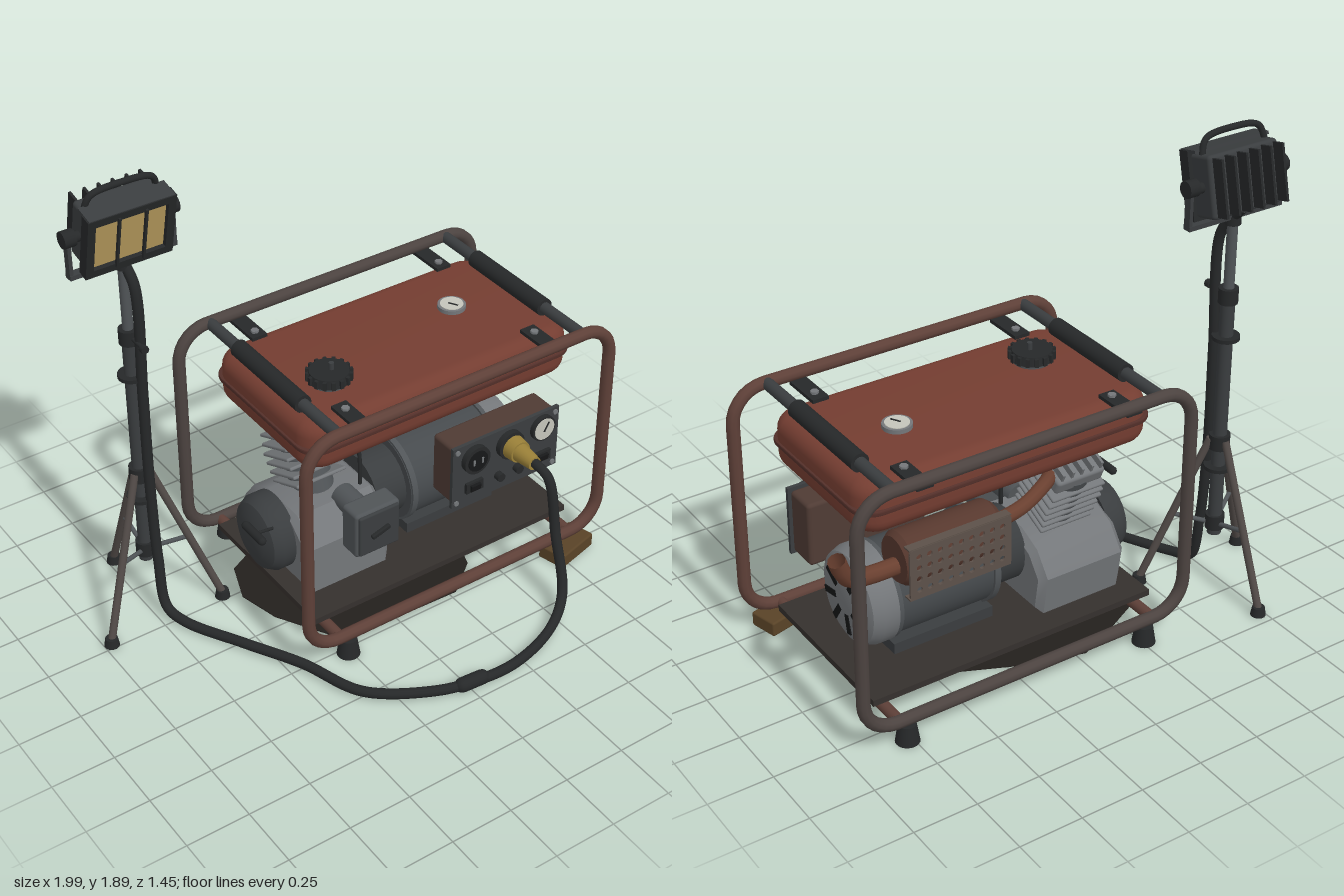
import * as THREE from 'three';
import { toCreasedNormals } from 'three/addons/utils/BufferGeometryUtils.js';
import { RoundedBoxGeometry } from 'three/addons/geometries/RoundedBoxGeometry.js';

const C = { rust: 0x743d31, frame: 0x5e4038, dark: 0x3a3d3f, black: 0x262829, metal: 0x74777a,
  iron: 0x505457, plate: 0x35302d, brass: 0x9a8038, glass: 0xb89d5e, dial: 0xc4c4ba, wood: 0x594327, pipe: 0x6a4030 };
const V = (p) => new THREE.Vector3(...p);

function add(parent, name, geo, color, pos = [0, 0, 0], rot = [0, 0, 0]) {
  const m = new THREE.Mesh(geo, new THREE.MeshStandardMaterial({ color }));
  m.name = name;
  m.position.set(...pos);
  m.rotation.set(...rot);
  parent.add(m);
  return m;
}
function group(parent, name, pos = [0, 0, 0], rot = [0, 0, 0]) {
  const g = new THREE.Group();
  g.name = name;
  g.position.set(...pos);
  g.rotation.set(...rot);
  parent.add(g);
  return g;
}
const box = (w, h, d) => new THREE.BoxGeometry(w, h, d);
const rbox = (w, h, d, r = 0.015) => new RoundedBoxGeometry(w, h, d, 2, r);
// Cylinder along the chosen axis
function cyl(r, h, axis = 'y', r2 = r, seg = 24) {
  const g = new THREE.CylinderGeometry(r2, r, h, seg);
  if (axis === 'x') g.rotateZ(-Math.PI / 2);
  if (axis === 'z') g.rotateX(Math.PI / 2);
  return g;
}
// Lathe of [radius, distance] points, turned to run along x
const latheX = (pts) => toCreasedNormals(
  new THREE.LatheGeometry(pts.map((p) => new THREE.Vector2(...p)), 36).rotateZ(-Math.PI / 2), 0.6);
function rod(parent, name, a, b, r, color) {
  const d = V(b).sub(V(a));
  const m = add(parent, name, cyl(r, d.length(), 'y', r, 14), color);
  m.position.copy(V(a).addScaledVector(d, 0.5));
  m.quaternion.setFromUnitVectors(new THREE.Vector3(0, 1, 0), d.normalize());
  return m;
}
const tube = (pts, r, n = 60, closed = false) => new THREE.TubeGeometry(
  new THREE.CatmullRomCurve3(pts.map((p) => (p.isVector3 ? p : V(p))), closed), n, r, 10, closed);
function roundRect(w, h, r) {
  const s = new THREE.Shape(), x = w / 2, y = h / 2;
  s.absarc(x - r, y - r, r, 0, Math.PI / 2);
  s.absarc(r - x, y - r, r, Math.PI / 2, Math.PI);
  s.absarc(r - x, r - y, r, Math.PI, Math.PI * 1.5);
  s.absarc(x - r, r - y, r, Math.PI * 1.5, Math.PI * 2);
  s.closePath();
  return s;
}
const extrude = (shape, depth, bevel, seg = 4) => toCreasedNormals(new THREE.ExtrudeGeometry(shape, {
  depth, bevelEnabled: bevel > 0, bevelThickness: bevel, bevelSize: bevel, bevelSegments: seg, curveSegments: 8 }), 0.6);

function buildFrame(root) {
  const g = group(root, 'frame');
  const loop = roundRect(1.375, 0.94, 0.13).getSpacedPoints(110).slice(0, -1);
  for (const [z, c, n] of [[0.275, C.frame, 'frontLoop'], [-0.588, 0x4c4340, 'backLoop']])
    add(g, n, tube(loop.map((p) => new THREE.Vector3(p.x + 0.2525, p.y + 0.565, z)), 0.025, 150, true), c);
  for (const x of [-0.295, 0.8]) {
    rod(g, 'topCrossbar', [x, 1.035, 0.275], [x, 1.035, -0.588], 0.023, C.dark);
    add(g, 'grip', cyl(0.035, 0.43, 'z'), C.black, [x, 1.035, -0.165]);
    rod(g, 'bottomCrossbar', [x, 0.095, 0.275], [x, 0.095, -0.588], 0.022, C.frame);
  }
  // Rubber feet; a wooden block stands in for the missing one
  for (const [x, z] of [[-0.26, -0.588], [0.77, -0.588], [-0.26, 0.275]])
    add(g, 'foot', cyl(0.045, 0.075, 'y', 0.033), C.black, [x, 0.0375, z]);
  add(g, 'woodBlock', rbox(0.2, 0.06, 0.12, 0.008), C.wood, [0.79, 0.03, 0.28], [0, 0.25, 0]);
  add(g, 'basePlate', box(1.2, 0.025, 0.685), C.plate, [0.25, 0.133, -0.155]);
  // Oil stain on the ground
  const stain = new THREE.Shape([[-0.42, 0.22], [-0.36, 0.38], [-0.2, 0.46], [-0.04, 0.53], [0.18, 0.47], [0.42, 0.36],
    [0.51, 0.12], [0.42, -0.12], [0.28, -0.23], [0.0, -0.22], [-0.26, -0.16], [-0.38, 0.05]].map((p) => new THREE.Vector2(...p)));
  add(g, 'oilStain', extrude(stain, 0.004, 0).rotateX(-Math.PI / 2), 0x231f1c);
}

function buildTank(root) {
  const g = group(root, 'fuelTank', [0.255, 0, -0.16]);
  add(g, 'tankShell', extrude(roundRect(1.09, 0.54, 0.04), 0.09, 0.058, 6).rotateX(-Math.PI / 2), C.rust, [0, 0.85, 0]);
  add(g, 'tankSeam', extrude(roundRect(1.21, 0.66, 0.08), 0.008, 0.006, 2).rotateX(-Math.PI / 2), 0x54302a, [0, 0.888, 0]);
  for (const x of [-0.43, 0.425]) for (const s of [-1, 1]) {
    add(g, 'tankStrap', box(0.065, 0.014, 0.17), C.black, [x, 1.01, s * 0.35 - (s < 0 ? 0 : 0.01)]);
    add(g, 'strapBolt', cyl(0.016, 0.012, 'y', 0.016, 6), C.metal, [x, 1.02, s * 0.3]);
  }
  // Ribbed filler cap with a small vent stub
  const cap = group(g, 'fuelCap', [-0.365, 1.0, 0.1]);
  add(cap, 'capNeck', cyl(0.07, 0.02), C.iron, [0, 0.005, 0]);
  add(cap, 'capBody', cyl(0.082, 0.035, 'y', 0.075), C.black, [0, 0.03, 0]);
  for (let i = 0; i < 16; i++) {
    const a = (i / 16) * Math.PI * 2;
    add(cap, 'capRib', box(0.012, 0.032, 0.014), C.black, [Math.cos(a) * 0.082, 0.029, Math.sin(a) * 0.082], [0, -a, 0]);
  }
  add(cap, 'ventStub', cyl(0.01, 0.03), C.dark, [0.01, 0.06, 0]);
  add(g, 'fuelGaugeRim', cyl(0.055, 0.016), C.metal, [0.29, 1.008, -0.035]);
  add(g, 'fuelGaugeDial', cyl(0.045, 0.004), C.dial, [0.29, 1.017, -0.035]);
  add(g, 'fuelGaugeNeedle', box(0.006, 0.003, 0.04), C.black, [0.29, 1.02, -0.025], [0, 0.5, 0]);
}

function buildEngine(root) {
  const g = group(root, 'engine');
  // Crankcase: chamfered side profile swept along x
  const side = new THREE.Shape([[-0.03, 0.17], [0.38, 0.17], [0.4, 0.3], [0.34, 0.38], [0.25, 0.42], [0.06, 0.42],
    [-0.03, 0.34]].map((p) => new THREE.Vector2(...p)));
  add(g, 'crankcase', extrude(side, 0.33, 0.025, 1).rotateY(Math.PI / 2), C.metal, [-0.265, 0, 0]);
  add(g, 'recoilStarter', latheX([[0, 0], [0.09, 0.005], [0.135, 0.025], [0.155, 0.06], [0.155, 0.12], [0, 0.12]]
    .map(([r, y]) => [r, y])), C.dark, [-0.4, 0.315, -0.18]);
  rod(g, 'pullCord', [-0.37, 0.43, -0.06], [-0.45, 0.44, -0.06], 0.006, C.black);
  add(g, 'pullHandle', new THREE.CapsuleGeometry(0.017, 0.11, 4, 12), C.black, [-0.45, 0.44, -0.065], [Math.PI / 2, 0, 0]);
  // Leaning cylinder with cooling fins
  const c = group(g, 'cylinder', [-0.1, 0.4, -0.19], [-0.42, 0, 0]);
  add(c, 'barrel', cyl(0.085, 0.3), C.iron, [0, 0.15, 0]);
  for (let i = 0; i < 6; i++)
    add(c, 'coolingFin', rbox(0.25 - Math.abs(i - 3) * 0.008, 0.014, 0.19, 0.006), C.metal, [0, 0.07 + i * 0.038, 0]);
  add(c, 'cylinderHead', rbox(0.21, 0.065, 0.16), C.metal, [0, 0.31, 0]);
  for (let i = 0; i < 5; i++) add(c, 'headFin', box(0.01, 0.035, 0.14), C.metal, [-0.085 + i * 0.042, 0.355, 0]);
  add(c, 'sparkPlug', cyl(0.02, 0.06), C.black, [0.05, 0.365, 0.06]);
  add(g, 'sparkLead', tube([[-0.07, 0.73, -0.27], [-0.02, 0.78, -0.24], [0.03, 0.72, -0.16], [0.045, 0.6, -0.1], [0.04, 0.42, -0.08]], 0.008), C.black);
  // Air filter on the front
  add(g, 'carburettor', cyl(0.05, 0.14, 'z'), C.iron, [-0.05, 0.44, 0.0]);
  add(g, 'airFilter', rbox(0.2, 0.2, 0.1), C.iron, [-0.05, 0.43, 0.12]);
  add(g, 'filterCover', rbox(0.18, 0.18, 0.02, 0.008), C.dark, [-0.05, 0.43, 0.17]);
  add(g, 'filterLatch', rbox(0.085, 0.02, 0.018, 0.006), C.black, [-0.05, 0.43, 0.185], [0, 0, 0.3]);

  // Generator head
  const a = group(root, 'alternator', [0, 0.35, -0.17]);
  add(a, 'coupling', cyl(0.145, 0.15, 'x'), C.dark, [0.16, 0, 0]);
  add(a, 'stator', cyl(0.178, 0.44, 'x', 0.178, 40), 0x464a4d, [0.44, 0, 0]);
  for (const x of [0.235, 0.645]) add(a, 'statorRing', cyl(0.188, 0.025, 'x', 0.188, 40), C.iron, [x, 0, 0]);
  add(a, 'endBell', latheX([[0.19, 0], [0.19, 0.06], [0.175, 0.1], [0.145, 0.115], [0, 0.12]]), C.metal, [0.65, 0, 0]);
  for (let i = 0; i < 8; i++) {
    const t = (i / 8) * Math.PI * 2 + 0.2;
    add(a, 'ventSlot', box(0.012, 0.078, 0.026), 0x141516, [0.764, Math.cos(t) * 0.1, Math.sin(t) * 0.1], [t, 0, 0]);
  }
  add(a, 'alternatorFoot', box(0.42, 0.05, 0.28), C.dark, [0.44, -0.185, 0]);
}

function buildExhaust(root) {
  const g = group(root, 'exhaust');
  add(g, 'headerPipe', tube([[-0.02, 0.68, -0.32], [0.06, 0.685, -0.38], [0.18, 0.66, -0.42], [0.34, 0.64, -0.43]], 0.028), C.pipe);
  add(g, 'muffler', latheX([[0, 0], [0.085, 0], [0.1, 0.02], [0.1, 0.38], [0.085, 0.4], [0, 0.4]]), 0x57382e, [0.31, 0.645, -0.43]);
  const tail = add(g, 'tailPipe', tube([[0.7, 0.625, -0.44], [0.82, 0.635, -0.45], [0.9, 0.66, -0.465], [0.94, 0.71, -0.48], [0.965, 0.77, -0.49]], 0.032), C.pipe);
  tail.material.side = THREE.DoubleSide;
  // Perforated heat shield
  const sheet = roundRect(0.41, 0.2, 0.015);
  for (let i = 0; i < 9; i++) for (let j = 0; j < 4; j++) {
    const h = new THREE.Path();
    h.absarc(-0.168 + i * 0.042, -0.066 + j * 0.044, 0.011, 0, Math.PI * 2, true);
    sheet.holes.push(h);
  }
  add(g, 'heatShield', extrude(sheet, 0.008, 0), 0x5c5049, [0.515, 0.645, -0.55]);
  for (const s of [-1, 1]) add(g, 'shieldFlange', box(0.41, 0.006, 0.035), 0x5c5049, [0.515, 0.645 + s * 0.1, -0.53]);
}

function buildPanel(root) {
  const g = group(root, 'controlPanel', [0.545, 0.51, 0.17]);
  add(g, 'panelBox', rbox(0.49, 0.26, 0.13), 0x4f3b34, [0, 0, -0.075]);
  add(g, 'panelFace', box(0.51, 0.28, 0.015), C.dark, [0, 0, -0.005]);
  for (const x of [-0.235, 0.235]) for (const y of [-0.12, 0.12])
    add(g, 'screw', cyl(0.011, 0.01, 'z', 0.011, 8), C.metal, [x, y, 0.004]);
  add(g, 'socketRim', cyl(0.06, 0.03, 'z'), C.black, [-0.155, 0.065, 0.012]);
  add(g, 'socketFace', cyl(0.045, 0.006, 'z'), 0x161718, [-0.155, 0.065, 0.028]);
  for (const x of [-0.02, 0.02]) add(g, 'socketSlot', box(0.008, 0.026, 0.004), C.metal, [-0.155 + x, 0.065, 0.032]);
  add(g, 'meterRim', cyl(0.055, 0.024, 'z'), C.black, [0.17, 0.075, 0.01]);
  add(g, 'meterDial', cyl(0.047, 0.006, 'z'), C.dial, [0.17, 0.075, 0.022]);
  add(g, 'meterNeedle', box(0.006, 0.045, 0.003), C.black, [0.177, 0.085, 0.027], [0, 0, -0.5]);
  for (const x of [-0.155, 0.175]) {
    add(g, 'switchFrame', box(0.08, 0.045, 0.016), C.black, [x, -0.065, 0.008]);
    add(g, 'rocker', box(0.045, 0.028, 0.022), 0x171819, [x, -0.065, 0.014], [0.2, 0, 0]);
  }
  for (const x of [-0.035, 0.055]) add(g, 'breakerButton', cyl(0.018, 0.03, 'z'), C.black, [x, -0.07, 0.013]);
  // Plug in the second socket
  add(g, 'outletRim', cyl(0.06, 0.03, 'z'), C.black, [0.01, 0.065, 0.012]);
  add(g, 'plugCollar', cyl(0.05, 0.045, 'z', 0.045), C.brass, [0.01, 0.065, 0.055]);
  add(g, 'plugBody', cyl(0.038, 0.085, 'z', 0.028), C.brass, [0.01, 0.065, 0.12]);
}

function buildCable(root) {
  const g = group(root, 'powerCable');
  const y = 0.026;
  add(g, 'cable', tube([[0.555, 0.575, 0.3], [0.557, 0.575, 0.35], [0.57, 0.54, 0.4], [0.58, 0.3, 0.45], [0.555, 0.08, 0.54], [0.44, y, 0.62],
    [0.2, y, 0.7], [0.01, y, 0.69], [-0.14, y, 0.645], [-0.35, y, 0.5], [-0.45, y, 0.25], [-0.57, y, 0.03],
    [-0.69, y, -0.2], [-0.715, 0.05, -0.29], [-0.712, 0.25, -0.34], [-0.712, 0.6, -0.362], [-0.712, 1.0, -0.362], [-0.712, 1.46, -0.362],
    [-0.72, 1.53, -0.4], [-0.725, 1.6, -0.46]], 0.02, 240), C.black);
  add(g, 'inlineConnector', new THREE.CapsuleGeometry(0.029, 0.085, 4, 12).rotateZ(Math.PI / 2), C.black, [0.01, 0.029, 0.687], [0, -0.08, 0]);
}

function buildLightTower(root) {
  const g = group(root, 'lightTower', [-0.725, 0, -0.412]);
  add(g, 'outerPole', cyl(0.027, 1.04), C.dark, [0, 0.74, 0]);
  add(g, 'innerPole', cyl(0.02, 0.36), C.iron, [0, 1.39, 0]);
  for (const [y, h, r] of [[1.24, 0.06, 0.037], [1.07, 0.015, 0.052], [0.63, 0.06, 0.04], [0.52, 0.015, 0.055], [0.275, 0.06, 0.037], [1.54, 0.035, 0.03]])
    add(g, 'collar', cyl(r, h), C.black, [0, y, 0]);
  rod(g, 'clampScrew', [0, 1.24, 0.03], [0, 1.24, 0.1], 0.008, C.black);
  add(g, 'clampKnob', cyl(0.016, 0.02, 'z', 0.016, 8), C.black, [0, 1.24, 0.11]);
  // Three splayed legs with braces
  for (let i = 0; i < 3; i++) {
    const leg = group(g, 'leg', [0, 0, 0], [0, Math.PI / 2 + (i * Math.PI * 2) / 3, 0]);
    rod(leg, 'legTube', [0.035, 0.64, 0], [0.283, 0.02, 0], 0.015, 0x514a47);
    rod(leg, 'legBrace', [0.03, 0.27, 0], [0.163, 0.31, 0], 0.009, C.iron);
    add(leg, 'legFoot', cyl(0.03, 0.035, 'y', 0.024, 14), C.black, [0.283, 0.0175, 0]);
  }
  // U-shaped yoke
  add(g, 'yokeBase', box(0.42, 0.018, 0.035), C.dark, [0, 1.557, 0]);
  for (const s of [-1, 1]) {
    add(g, 'yokeArm', box(0.014, 0.17, 0.03), C.dark, [s * 0.203, 1.635, 0]);
    add(g, 'tiltKnob', cyl(0.032, 0.045, 'x', 0.032, 12), C.black, [s * 0.2, 1.705, 0]);
  }
  // Tilted lamp head
  const l = group(g, 'lampHead', [0, 1.7, -0.005], [0.23, 0, 0]);
  add(l, 'lampHousing', rbox(0.31, 0.23, 0.11), C.dark, [0, 0, 0]);
  for (const s of [-1, 1]) {
    add(l, 'bezelBar', box(0.34, 0.03, 0.045), C.black, [0, s * 0.113, 0.065]);
    add(l, 'bezelSide', box(0.03, 0.25, 0.045), C.black, [s * 0.155, 0, 0.065]);
    add(l, 'guardBar', box(0.009, 0.22, 0.012), C.black, [s * 0.052, 0, 0.09]);
    add(l, 'pivot', cyl(0.02, 0.06, 'x'), C.black, [s * 0.17, 0, 0]);
  }
  add(l, 'lampGlass', box(0.28, 0.2, 0.03), C.glass, [0, 0, 0.055]);
  add(l, 'visor', box(0.33, 0.012, 0.08), C.dark, [0, 0.125, 0.045]);
  for (let i = 0; i < 6; i++) add(l, 'heatFin', box(0.01, 0.21, 0.06), C.black, [-0.135 + i * 0.054, 0, -0.075]);
  add(l, 'carryHandle', tube([[-0.14, 0.11, 0], [-0.125, 0.155, 0], [-0.1, 0.172, 0], [0, 0.18, 0], [0.1, 0.172, 0], [0.125, 0.155, 0], [0.14, 0.11, 0]], 0.012), C.black);
}

export function createModel() {
  const root = new THREE.Group();
  root.name = 'generatorWithWorkLight';
  for (const build of [buildFrame, buildTank, buildEngine, buildExhaust, buildPanel, buildCable, buildLightTower]) build(root);
  return root;
}
